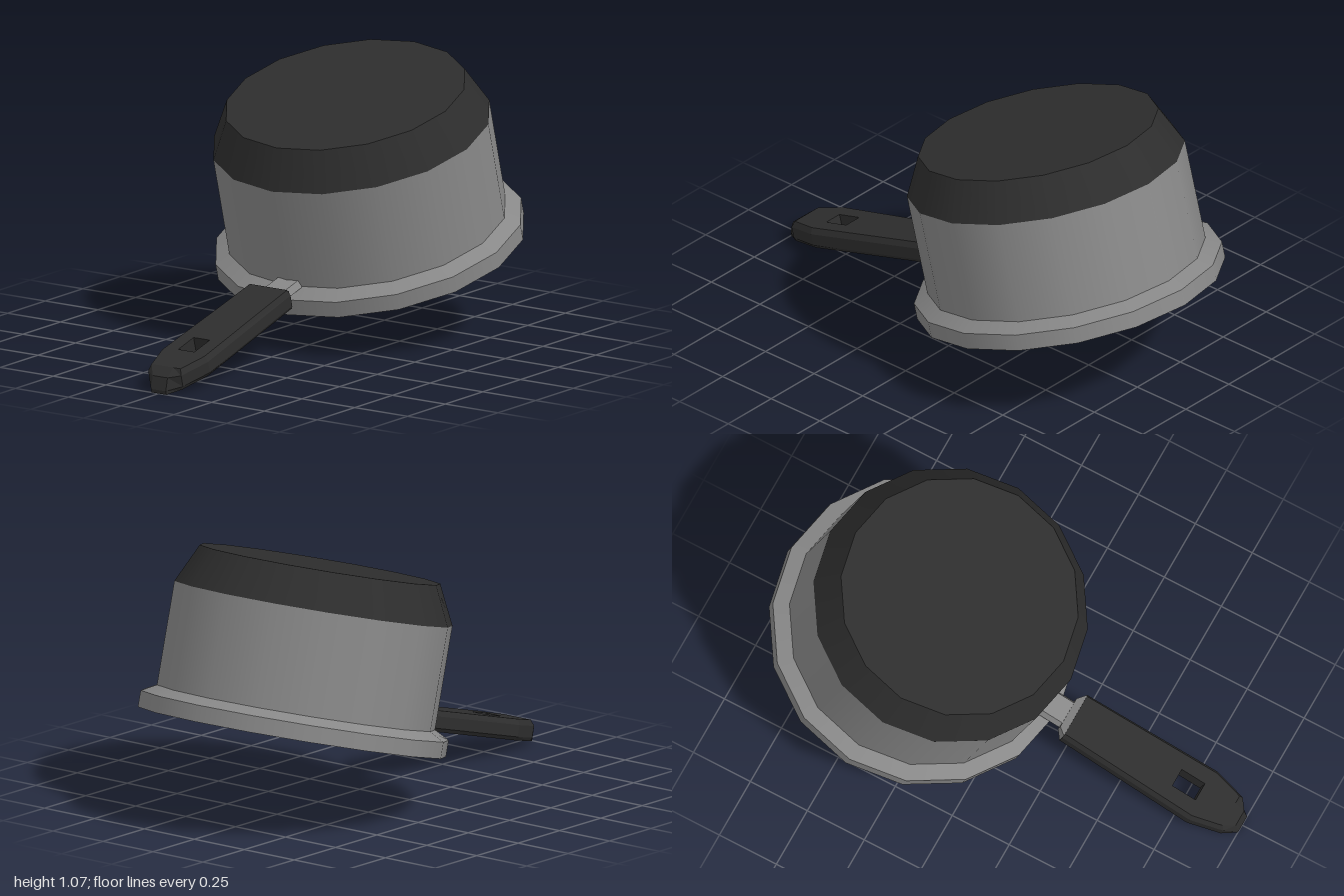
import * as THREE from 'three';

const steel = new THREE.MeshStandardMaterial({ color: 0x888888, side: THREE.DoubleSide });
steel.name = 'grey steel';
const black = new THREE.MeshStandardMaterial({ color: 0x2d2d2d, side: THREE.DoubleSide });
black.name = 'black';

// Moves every vertex by a rule, then gives the faces flat normals
function reshape(geometry, rule) {
  const geo = geometry.index ? geometry.toNonIndexed() : geometry;
  const p = geo.attributes.position;
  const v = new THREE.Vector3();
  for (let i = 0; i < p.count; i++) {
    v.fromBufferAttribute(p, i);
    rule(v);
    p.setXYZ(i, v.x, v.y, v.z);
  }
  geo.computeVertexNormals();
  return geo;
}

export function createModel() {
  const model = new THREE.Group();
  model.name = 'saucepan';

  // Upturned pan leaning on the end of its handle
  const pan = new THREE.Group();
  pan.name = 'tiltedPan';
  pan.rotation.z = THREE.MathUtils.degToRad(15);
  pan.position.set(0.41, 0.307, 0);
  model.add(pan);

  const add = (name, geometry, material) => {
    const mesh = new THREE.Mesh(geometry, material);
    mesh.name = name;
    pan.add(mesh);
  };

  // Thin shell, one band per crease: radius and height at both ends
  const bands = [
    ['rimUnderside', 0.48, 0, 0.606, 0, steel],
    ['rimWall', 0.606, 0, 0.606, 0.065, steel],
    ['rimSlope', 0.606, 0.065, 0.547, 0.096, steel],
    ['body', 0.547, 0.096, 0.547, 0.503, steel],
    ['baseBevel', 0.547, 0.503, 0.473, 0.656, black],
    ['base', 0.473, 0.656, 0, 0.656, black],
  ];
  for (const [name, r0, y0, r1, y1, material] of bands) {
    const profile = [new THREE.Vector2(r0, y0), new THREE.Vector2(r1, y1)];
    add(name, new THREE.LatheGeometry(profile, 16), material);
  }

  // Stem running from the handle through the wall
  add('stem', reshape(new THREE.BoxGeometry(0.14, 0.028, 0.12), (v) => {
    if (v.y > 0) v.z *= 0.78;
    v.x -= 0.59;
    v.y += 0.107;
  }), steel);

  // Tapered ferrule at the handle end
  add('ferrule', reshape(new THREE.BoxGeometry(0.028, 0.078, 0.192), (v) => {
    if (v.x > 0) { v.y *= 0.5; v.z *= 0.68; }
    v.x -= 0.651;
    v.y += 0.106;
  }), steel);

  // Handle with a hanging slot and bevelled edges
  const half = [[-0.665, 0.1], [-1.25, 0.113], [-1.385, 0.078], [-1.441, 0.035]];
  const outline = [...half, ...half.map(([x, z]) => [x, -z]).reverse()];
  const shape = new THREE.Shape(outline.map(([x, z]) => new THREE.Vector2(x, z)));
  const slot = [[-1.23, -0.038], [-1.125, -0.038], [-1.125, 0.038], [-1.23, 0.038]];
  shape.holes.push(new THREE.Path(slot.map(([x, z]) => new THREE.Vector2(x, z))));
  const handle = new THREE.ExtrudeGeometry(shape, { depth: 3, steps: 3, bevelEnabled: false });
  handle.rotateX(-Math.PI / 2);
  const heights = [0.065, 0.08, 0.126, 0.148];
  const widths = [0.9, 1, 1, 0.88];
  const tips = [-1.441, -1.441, -1.416, -1.37];
  add('handle', reshape(handle, (v) => {
    const row = Math.round(v.y);
    v.y = heights[row];
    if (Math.abs(v.z) > 0.05) v.z *= widths[row];
    v.x = Math.max(v.x, tips[row]);
  }), black);

  return model;
}
